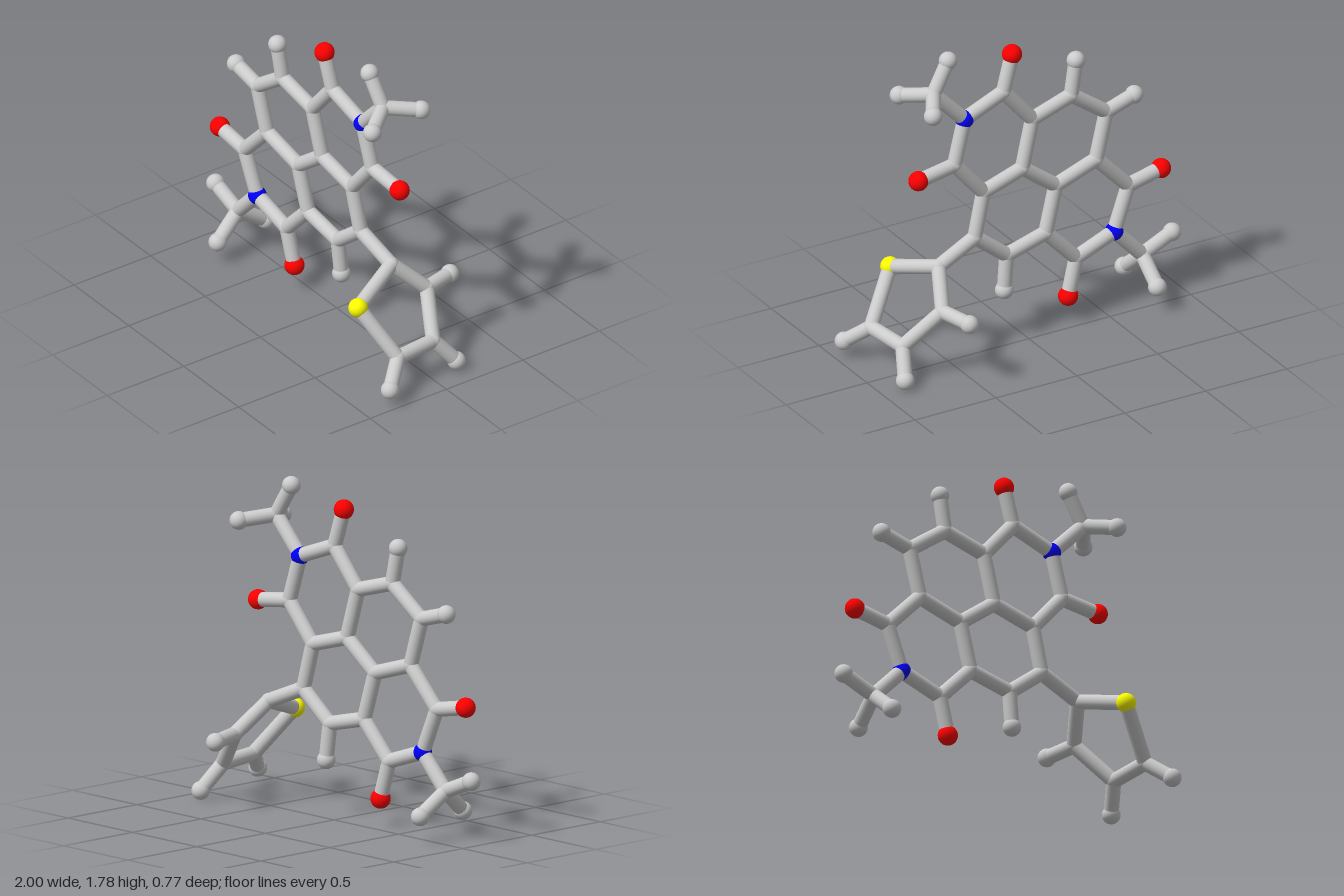
import * as THREE from 'three';

const BOND_RADIUS = 0.04;
const ATOM = {
  C: { name: 'carbon', radius: 0.042, color: 0xcccccc },
  H: { name: 'hydrogen', radius: 0.05, color: 0xcccccc },
  N: { name: 'nitrogen', radius: 0.05, color: 0x0000ff },
  O: { name: 'oxygen', radius: 0.054, color: 0xff0000 },
  S: { name: 'sulfur', radius: 0.053, color: 0xffff00 },
};

// Atoms of the flat fused rings: [x, y]; depth follows the tilted plane
const flat = {
  C1: [0.10, 1.47], N1: [0.35, 1.38], C2: [0.42, 1.13], C3: [0.24, 0.92],
  C4: [-0.01, 0.99], C5: [-0.08, 1.26], C6: [-0.33, 1.33], C7: [-0.55, 1.17],
  C8: [-0.48, 0.91], C9: [-0.22, 0.83], C10: [-0.15, 0.57], C11: [0.10, 0.51],
  C12: [0.30, 0.67], C13: [-0.68, 0.70], N2: [-0.585, 0.455], C14: [-0.34, 0.37],
  O1: [0.04, 1.675], O2: [0.65, 1.10], O3: [-0.89, 0.74], O4: [-0.285, 0.16],
  H1: [-0.365, 1.525], H2: [-0.73, 1.22], H3: [0.12, 0.31],
};
const planeZ = (x, y) => 0.05 - 0.054 * x + 0.036 * y;

// Atoms out of the plane: two methyl groups and the five-sided ring
const free = {
  C15: [0.54, 1.575, 0.085], H4: [0.44, 1.745, 0.10],
  H5: [0.66, 1.535, 0.24], H6: [0.645, 1.55, -0.09],
  C16: [-0.76, 0.27, 0.10], H7: [-0.95, 0.35, 0.11],
  H8: [-0.735, 0.14, 0.25], H9: [-0.75, 0.155, -0.075],
  C17: [0.54, 0.57, 0.03], S1: [0.66, 0.47, 0.333],
  C18: [0.85, 0.21, 0.21], C19: [0.81, 0.2, -0.05], C20: [0.62, 0.40, -0.145],
  H10: [0.565, 0.393, -0.335], H11: [0.862, 0.06, -0.165], H12: [0.947, 0.10, 0.33],
};

// Chains of bonded atoms
const chains = [
  'C1 N1 C2 C3 C4 C5 C1', 'C5 C6 C7 C8 C9 C4', 'C9 C10 C11 C12 C3',
  'C8 C13 N2 C14 C10', 'C1 O1', 'C2 O2', 'C13 O3', 'C14 O4',
  'C6 H1', 'C7 H2', 'C11 H3',
  'N1 C15 H4', 'H5 C15 H6', 'N2 C16 H7', 'H8 C16 H9',
  'C12 C17 S1 C18 C19 C20 C17', 'C20 H10', 'C19 H11', 'C18 H12',
];

export function createModel() {
  const model = new THREE.Group();
  model.name = 'molecule';
  const atoms = new THREE.Group();
  atoms.name = 'atoms';
  const bonds = new THREE.Group();
  bonds.name = 'bonds';
  model.add(atoms, bonds);

  const points = {};
  for (const [id, [x, y]] of Object.entries(flat)) {
    points[id] = new THREE.Vector3(x, y, planeZ(x, y));
  }
  for (const [id, p] of Object.entries(free)) points[id] = new THREE.Vector3(...p);

  // One shared ball and material per element
  const kinds = {};
  for (const [key, { radius, color }] of Object.entries(ATOM)) {
    kinds[key] = {
      geometry: new THREE.SphereGeometry(radius, 28, 18),
      material: new THREE.MeshStandardMaterial({ color }),
    };
  }
  for (const [id, p] of Object.entries(points)) {
    const { geometry, material } = kinds[id[0]];
    const ball = new THREE.Mesh(geometry, material);
    ball.name = ATOM[id[0]].name;
    ball.position.copy(p);
    atoms.add(ball);
  }

  // Rods between neighbouring atoms
  const up = new THREE.Vector3(0, 1, 0);
  const addBond = (a, b) => {
    const dir = b.clone().sub(a);
    const rod = new THREE.Mesh(
      new THREE.CylinderGeometry(BOND_RADIUS, BOND_RADIUS, dir.length(), 24, 1, true),
      kinds.C.material
    );
    rod.name = 'bond';
    rod.position.copy(a).add(b).multiplyScalar(0.5);
    rod.quaternion.setFromUnitVectors(up, dir.normalize());
    bonds.add(rod);
  };
  for (const chain of chains) {
    const ids = chain.split(' ');
    for (let i = 1; i < ids.length; i++) addBond(points[ids[i - 1]], points[ids[i]]);
  }
  return model;
}
